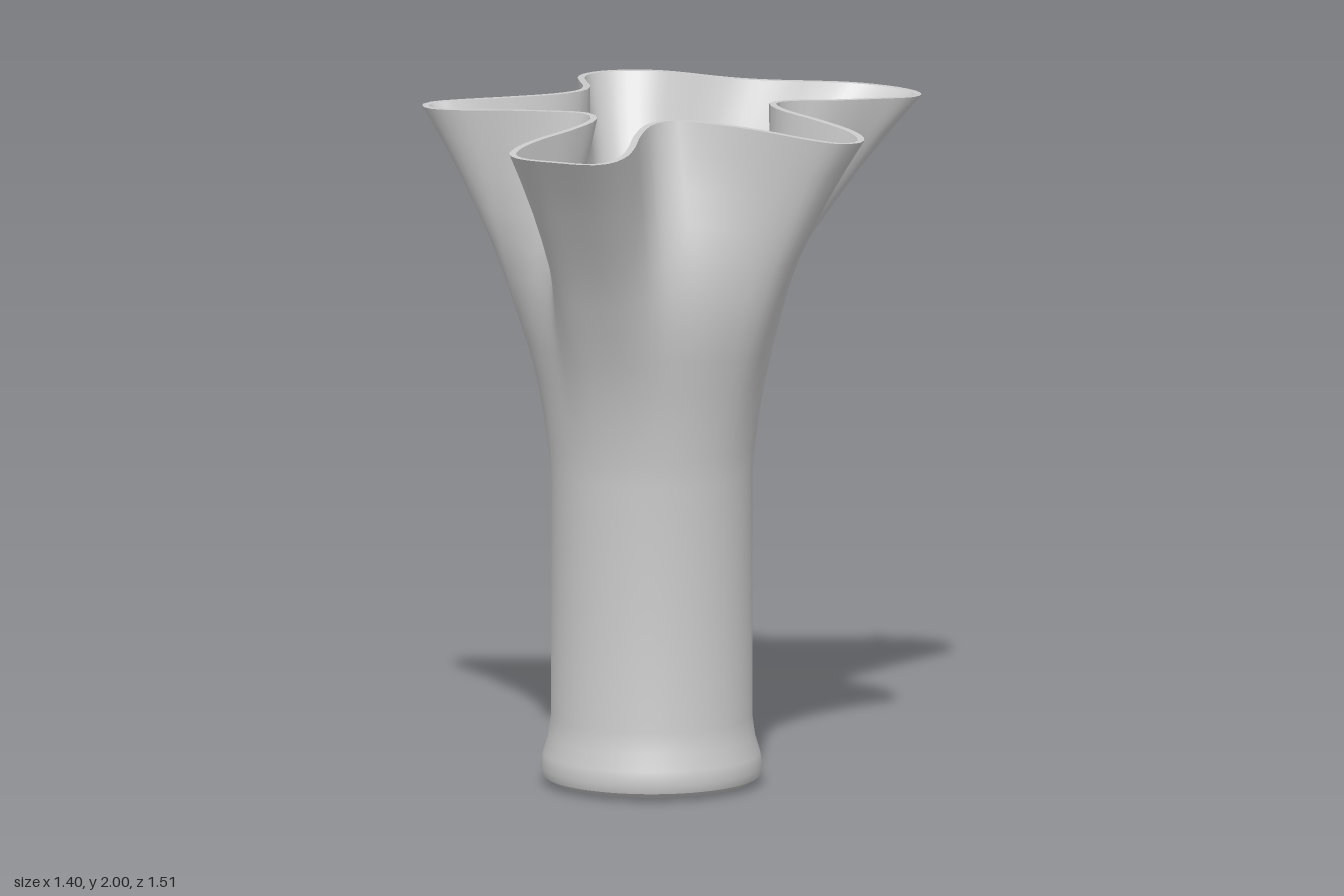
import * as THREE from 'three';
import { toCreasedNormals } from 'three/addons/utils/BufferGeometryUtils.js';

const N = 160;
const CX = -0.015, CZ = 0.01; // axis of the stem
const R = 0.292, INNER = 0.256, TIP = 0.72; // stem radius, bore radius, reach of the lobes

// Plan of the ruffled rim (x, z): left, back-left, back-right, right and front lobes
const RIM = [
  [-0.70, 0.10], [-0.685, 0.06], [-0.62, 0.03], [-0.46, -0.02], [-0.35, -0.07], [-0.31, -0.13], [-0.33, -0.21],
  [-0.39, -0.32], [-0.44, -0.42], [-0.455, -0.50], [-0.43, -0.58], [-0.36, -0.63], [-0.28, -0.645],
  [-0.19, -0.625], [-0.08, -0.593], [0.01, -0.588], [0.10, -0.62], [0.20, -0.69], [0.29, -0.745],
  [0.39, -0.76], [0.48, -0.74], [0.53, -0.69], [0.54, -0.62], [0.48, -0.50], [0.39, -0.35], [0.31, -0.25],
  [0.295, -0.18], [0.35, -0.12], [0.50, -0.06], [0.62, 0.0], [0.68, 0.06], [0.70, 0.12], [0.66, 0.18],
  [0.57, 0.195], [0.40, 0.185], [0.25, 0.195], [0.14, 0.22], [0.11, 0.28], [0.125, 0.40], [0.16, 0.52],
  [0.178, 0.62], [0.165, 0.70], [0.12, 0.74], [0, 0.75], [-0.11, 0.74], [-0.16, 0.70], [-0.173, 0.62],
  [-0.155, 0.52], [-0.11, 0.40], [-0.09, 0.28], [-0.13, 0.225], [-0.25, 0.21], [-0.45, 0.20], [-0.58, 0.195], [-0.66, 0.165],
];

// Foot and stem: height, radius
const FOOT = [
  [0, 0], [0, 0.25], [0.008, 0.285], [0.025, 0.314], [0.05, 0.322], [0.09, 0.315], [0.14, 0.3], [0.2, R], [0.55, R],
];
// Bowl: height, reach of the lobes, radius of the round funnel the ruffles grow out of
const BOWL = [
  [0.92, R, R], [1.0, 0.3, 0.3], [1.1, 0.316, 0.313], [1.2, 0.338, 0.33], [1.3, 0.368, 0.353], [1.4, 0.406, 0.376],
  [1.5, 0.445, 0.392], [1.6, 0.488, 0.4], [1.7, 0.542, 0.4], [1.8, 0.595, 0.39], [1.9, 0.655, 0.38], [2.0, TIP, 0.37],
];

// Pairs every rim point with an angle on the stem circle
function makeRim() {
  const curve = new THREE.CatmullRomCurve3(RIM.map(([x, z]) => new THREE.Vector3(x, 0, z)), true, 'centripetal');
  curve.arcLengthDivisions = 800;
  const pts = curve.getSpacedPoints(N).slice(0, N);
  let last = Math.PI;
  const own = pts.map((p) => {
    let a = Math.atan2(p.z - CZ, p.x - CX);
    while (a < last - Math.PI) a += 2 * Math.PI;
    while (a > last + Math.PI) a -= 2 * Math.PI;
    return (last = a);
  });
  const even = own.map((_, i) => (i / N) * 2 * Math.PI);
  const shift = own.reduce((s, a, i) => s + a - even[i], 0) / N;
  return pts.map((p, i) => ({
    x: p.x, z: p.z,
    a: 0.4 * own[i] + 0.6 * (even[i] + shift),
    top: 2 - 0.04 * (Math.hypot(p.x, p.z) - 0.27) / 0.48,
  }));
}

// One closed ring: circle of radius r blended by t to the rim, moved inward by the wall thickness
function ring(rim, y, r, t = 0, inset = 0) {
  const plan = rim.map((p) => [
    THREE.MathUtils.lerp(CX + r * Math.cos(p.a), p.x, t),
    THREE.MathUtils.lerp(CZ + r * Math.sin(p.a), p.z, t),
  ]);
  return plan.map(([x, z], i) => {
    const a = plan[(i + N - 1) % N], b = plan[(i + 1) % N];
    const tx = b[0] - a[0], tz = b[1] - a[1], l = Math.hypot(tx, tz) || 1;
    const h = y > 0.92 ? 0.92 + (y - 0.92) * (rim[i].top - 0.92) / 1.08 : y;
    return [x - (tz / l) * inset, h, z + (tx / l) * inset];
  });
}

export function createModel() {
  const group = new THREE.Group();
  const rim = makeRim();
  const bowlRing = ([y, reach, r], wall) => {
    const t = (reach - r) / (TIP - r);
    return ring(rim, y, r, t, wall * (0.036 - 0.016 * t));
  };

  const rings = [
    // Outside, from under the foot up to the rim
    ...FOOT.map(([y, r]) => ring(rim, y, r)),
    ...BOWL.map((row) => bowlRing(row, 0)),
    // Inside, from the rim down to the floor
    ...[...BOWL].reverse().map((row) => bowlRing(row, 1)),
    ring(rim, 0.5, INNER), ring(rim, 0.06, INNER), ring(rim, 0.06, 0),
  ];

  // Skin between neighbouring rings
  const index = [];
  for (let j = 0; j < rings.length - 1; j++) {
    for (let i = 0; i < N; i++) {
      const a = j * N + i, b = j * N + ((i + 1) % N);
      index.push(a, a + N, b, b, a + N, b + N);
    }
  }
  const geometry = new THREE.BufferGeometry();
  geometry.setAttribute('position', new THREE.Float32BufferAttribute(rings.flat(2), 3));
  geometry.setIndex(index);

  const vase = new THREE.Mesh(
    toCreasedNormals(geometry, 0.7),
    new THREE.MeshStandardMaterial({ color: 0xcccccc, side: THREE.DoubleSide }),
  );
  vase.name = 'ruffledVase';
  group.add(vase);
  return group;
}
